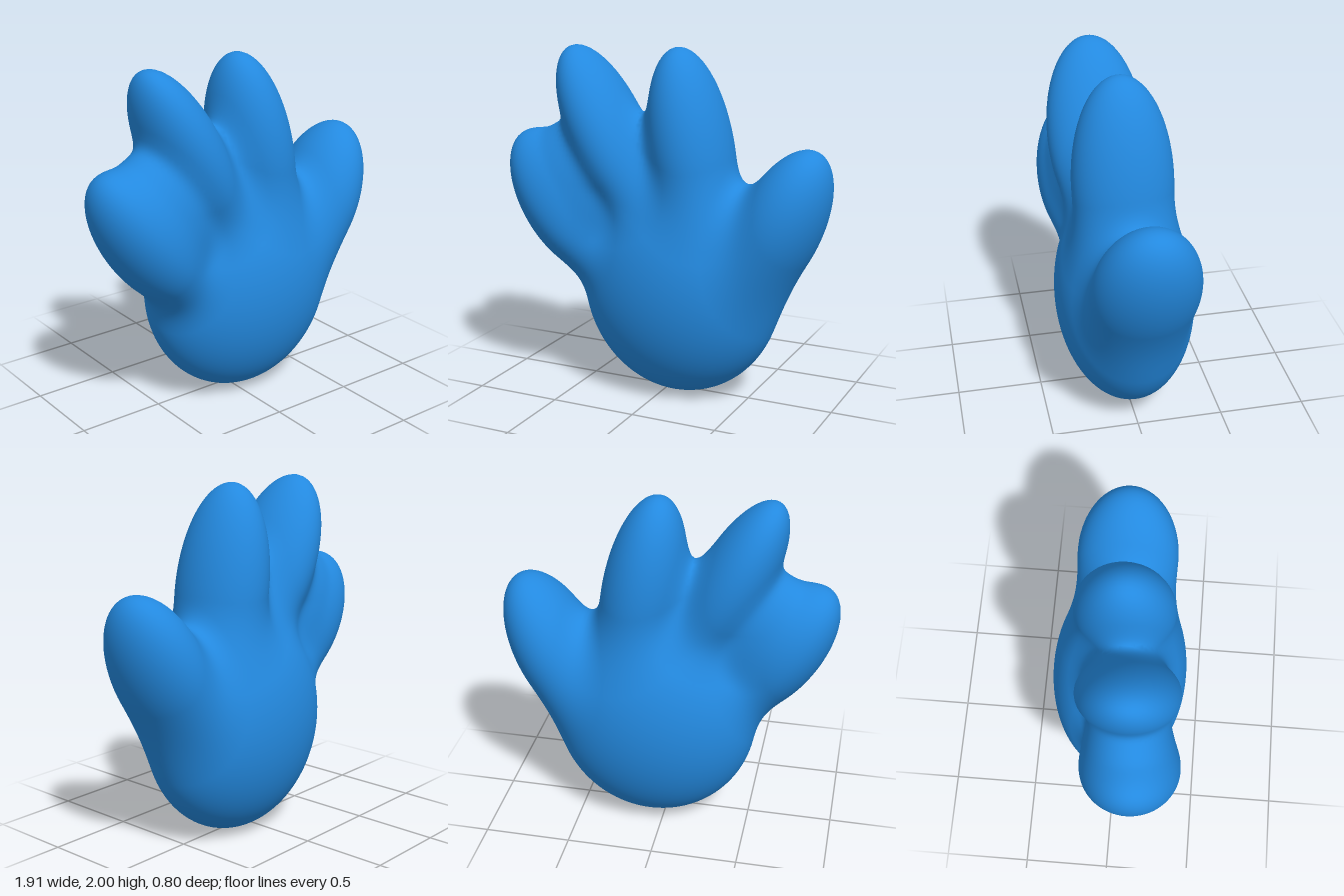
import * as THREE from 'three';

// Each lobe: centre, long-axis direction in the front plane, radii (across, along, depth)
const LOBES = [
  { c: [0.075, 0.65, 0], d: [0, 1], r: [0.6, 0.65, 0.4] },               // palm
  { c: [0.15, 1.41, 0.02], d: [-0.17, 0.98], r: [0.23, 0.6, 0.285] },    // middle finger
  { c: [-0.345, 1.49, 0.075], d: [-0.44, 0.9], r: [0.205, 0.56, 0.285] },// ring finger
  { c: [-0.635, 1.09, 0.11], d: [-0.55, 0.835], r: [0.23, 0.47, 0.28] }, // little finger
  { c: [-0.52, 1.25, 0.09], d: [-0.5, 0.866], r: [0.14, 0.29, 0.2] },    // web between ring and little finger
  { c: [0.658, 1.02, 0], d: [0.42, 0.91], r: [0.235, 0.5, 0.3] },        // thumb
];
const BLEND = 0.17;
const STEP = 0.025;
const MIN = [-1.15, -0.15, -0.55];
const COUNT = [92, 92, 44];

// Approximate signed distance to one tilted ellipsoid
function lobeDistance({ c, d, r }, x, y, z) {
  const px = x - c[0], py = y - c[1], pz = z - c[2];
  const a = (px * d[1] - py * d[0]) / r[0];
  const b = (px * d[0] + py * d[1]) / r[1];
  const e = pz / r[2];
  const k0 = Math.hypot(a, b, e);
  const k1 = Math.hypot(a / r[0], b / r[1], e / r[2]);
  return k1 < 1e-6 ? -Math.min(...r) : k0 * (k0 - 1) / k1;
}

// Smooth union of all lobes
function field(x, y, z) {
  let f = lobeDistance(LOBES[0], x, y, z);
  for (let i = 1; i < LOBES.length; i++) {
    const g = lobeDistance(LOBES[i], x, y, z);
    const h = Math.max(BLEND - Math.abs(f - g), 0) / BLEND;
    f = Math.min(f, g) - h * h * BLEND / 4;
  }
  return f;
}

function gradient([x, y, z]) {
  const e = 0.002;
  return [
    (field(x + e, y, z) - field(x - e, y, z)) / (2 * e),
    (field(x, y + e, z) - field(x, y - e, z)) / (2 * e),
    (field(x, y, z + e) - field(x, y, z - e)) / (2 * e),
  ];
}

// Mesh the blended surface: one vertex per crossed cell, one quad per crossed grid edge
function blendedGeometry() {
  const [nx, ny, nz] = COUNT;
  const stride = [1, nx, nx * ny];
  const values = new Float32Array(nx * ny * nz);
  const at = (i, j, k) => [MIN[0] + i * STEP, MIN[1] + j * STEP, MIN[2] + k * STEP];
  const eachCell = (visit) => {
    for (let k = 1; k < nz - 1; k++)
      for (let j = 1; j < ny - 1; j++)
        for (let i = 1; i < nx - 1; i++) visit(i, j, k, i + j * nx + k * nx * ny);
  };
  for (let k = 0, n = 0; k < nz; k++)
    for (let j = 0; j < ny; j++)
      for (let i = 0; i < nx; i++) values[n++] = field(...at(i, j, k));

  const positions = [], normals = [], indices = [];
  const vertexOf = new Int32Array(values.length).fill(-1);
  eachCell((i, j, k, n) => {
    let inside = 0;
    for (let q = 0; q < 8; q++) {
      const corner = n + (q & 1) + ((q >> 1) & 1) * stride[1] + (q >> 2) * stride[2];
      if (values[corner] < 0) inside++;
    }
    if (inside === 0 || inside === 8) return;
    // Slide the cell centre onto the surface
    const p = at(i + 0.5, j + 0.5, k + 0.5);
    for (let s = 0; s < 4; s++) {
      const g = gradient(p);
      const t = field(...p) / Math.max(g[0] ** 2 + g[1] ** 2 + g[2] ** 2, 0.1);
      for (let a = 0; a < 3; a++) p[a] -= g[a] * t;
    }
    const g = gradient(p), len = Math.hypot(...g) || 1;
    vertexOf[n] = positions.length / 3;
    positions.push(...p);
    normals.push(g[0] / len, g[1] / len, g[2] / len);
  });

  eachCell((i, j, k, n) => {
    for (let a = 0; a < 3; a++) {
      const inside = values[n] < 0;
      if (inside === values[n + stride[a]] < 0) continue;
      const u = stride[(a + 1) % 3], v = stride[(a + 2) % 3];
      const quad = [n, n - u, n - u - v, n - v].map((cell) => vertexOf[cell]);
      if (!inside) quad.reverse();
      const [p, q, r, s] = quad;
      indices.push(p, q, r, p, r, s);
    }
  });

  const geometry = new THREE.BufferGeometry();
  geometry.setAttribute('position', new THREE.Float32BufferAttribute(positions, 3));
  geometry.setAttribute('normal', new THREE.Float32BufferAttribute(normals, 3));
  geometry.setIndex(indices);
  return geometry;
}

export function createModel() {
  const blue = new THREE.MeshStandardMaterial({ color: 0x2389df });
  blue.name = 'blue';

  // Stand the hand on the ground, centred
  const geometry = blendedGeometry();
  geometry.computeBoundingBox();
  const box = geometry.boundingBox;
  const centre = box.getCenter(new THREE.Vector3());
  geometry.translate(-centre.x, -box.min.y, -centre.z);

  const hand = new THREE.Mesh(geometry, blue);
  hand.name = 'hand';
  const group = new THREE.Group();
  group.name = 'cartoonHand';
  group.add(hand);
  return group;
}
